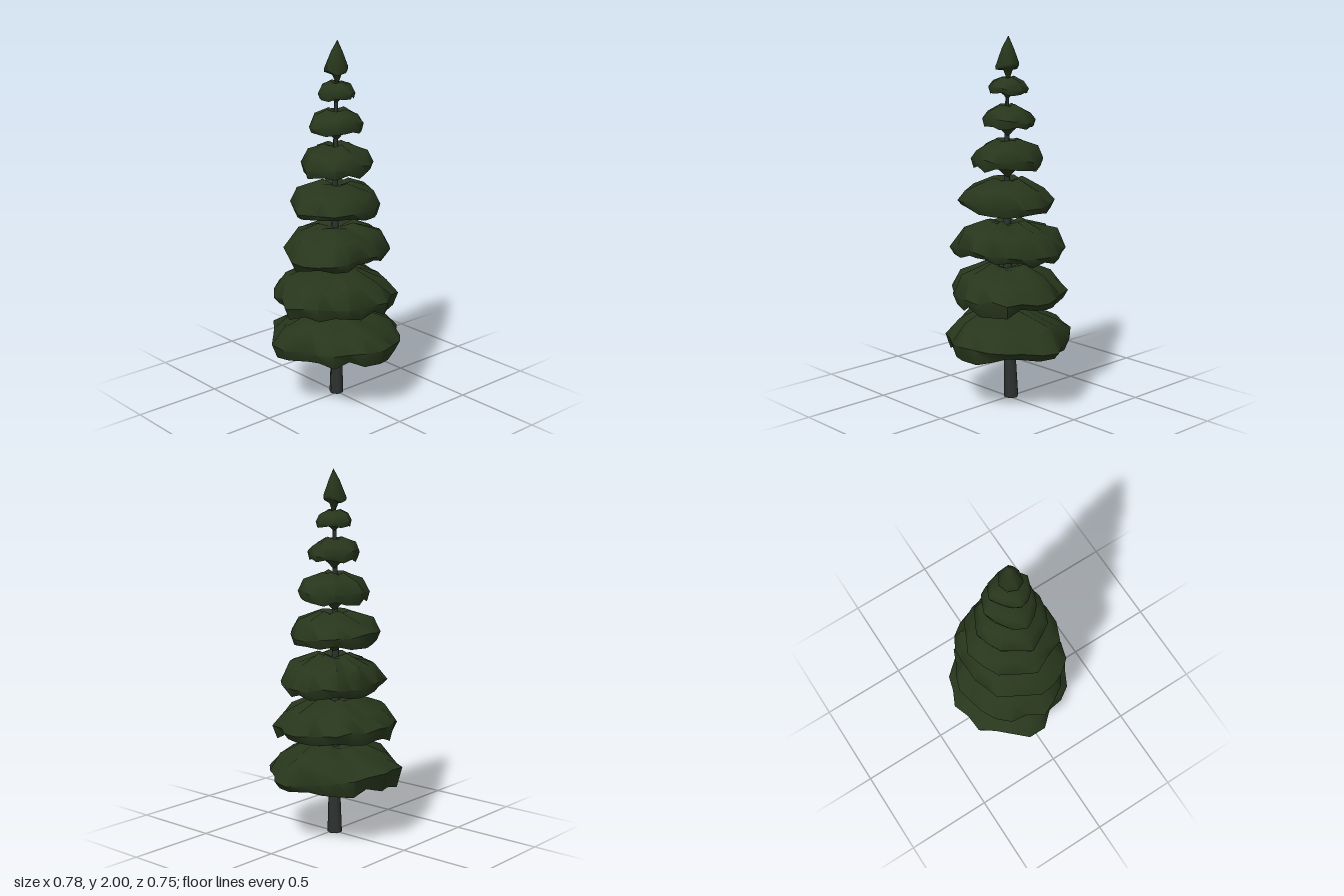
import * as THREE from 'three';
import { toCreasedNormals } from 'three/addons/utils/BufferGeometryUtils.js';

function seeded(seed) {
  let s = seed;
  return () => (s = (s * 16807) % 2147483647) / 2147483647;
}

// Closed surface through rings of points, listed from the top down to the underside
function skin(rings) {
  const n = rings[0].length;
  const index = [];
  for (let i = 0; i < rings.length - 1; i++) {
    for (let j = 0; j < n; j++) {
      const a = i * n + j, b = i * n + (j + 1) % n;
      index.push(a, b, a + n, b, b + n, a + n);
    }
  }
  const g = new THREE.BufferGeometry();
  g.setAttribute('position', new THREE.Float32BufferAttribute(rings.flat(2), 3));
  g.setIndex(index);
  return toCreasedNormals(g, 1.05);
}

// Value at a share u of a full turn, from a list spread evenly round the circle
function around(list, u) {
  const t = u * list.length, i = Math.floor(t);
  return THREE.MathUtils.lerp(list[i], list[(i + 1) % list.length], t - i);
}

// Ragged mushroom-shaped bough ring; reach (radii) and rims (heights) run from +x towards +z
function boughGeometry({ y0, y1, reach, rims, core }, seed, n) {
  const rand = seeded(seed * 7919 + 13);
  for (let i = 0; i < 5; i++) rand();
  const h = y1 - y0;
  const spokes = Array.from({ length: n }, (_, j) => {
    const u = j / n;
    const fixed = (u * reach.length) % 1 === 0;
    const rim = (around(rims, u) - y0) / h + (fixed ? 0 : (rand() - 0.5) * 0.14);
    return {
      angle: u * Math.PI * 2,
      radius: around(reach, u) * (fixed ? 1 : 0.9 + rand() * 0.12),
      rim,
      lip: Math.min(rand() * 0.2, rim - 0.1),
      crown: 0.88 + rand() * 0.12,
      bulge: 0.74 + rand() * 0.12,
      shoulder: Math.max(0.58 + rand() * 0.2, rim + 0.12),
    };
  });
  // Radius share and height share down the cross-section
  const profile = [
    [() => 0.03, () => 0.84], [() => 0.34, s => s.crown], [s => s.bulge, s => s.shoulder],
    [() => 1, s => s.rim], [() => 0.92, s => s.lip], [() => 0.6, s => s.lip * 0.5 + 0.26],
    [() => 0.2, () => core + 0.2], [() => 0.03, () => core],
  ];
  return skin(profile.map(([share, height]) => spokes.map(s => {
    const r = share(s);
    return [
      -0.012 * (1 - r) + Math.cos(s.angle) * s.radius * r,
      y0 + h * height(s),
      Math.sin(s.angle) * s.radius * r,
    ];
  })));
}

export function createModel() {
  const tree = new THREE.Group();
  tree.name = 'coniferTree';
  const needles = new THREE.MeshStandardMaterial({ color: 0x27361c });
  needles.name = 'dark green needles';
  const bark = new THREE.MeshStandardMaterial({ color: 0x2d3230 });
  bark.name = 'grey bark';

  const add = (name, geometry, material) => {
    const mesh = new THREE.Mesh(geometry, material);
    mesh.name = name;
    tree.add(mesh);
    return mesh;
  };

  // Slightly bent, tapering trunk: [x, y, z, radius] from the top down
  const trunk = [
    [-0.01, 1.88, 0, 0.007], [-0.016, 1.5, 0, 0.013], [-0.018, 1.1, -0.003, 0.018],
    [-0.014, 0.7, -0.004, 0.025], [-0.003, 0.3, -0.008, 0.031], [0.002, 0, -0.015, 0.041],
    [0.002, 0, -0.015, 0.001],
  ];
  add('trunk', skin(trunk.map(([x, y, z, r]) => Array.from({ length: 6 }, (_, j) => {
    const a = j / 6 * Math.PI * 2;
    return [x + Math.cos(a) * r, y, z + Math.sin(a) * r];
  }))), bark);

  // Bough tiers, bottom to top; core is the underside height at the trunk
  const tiers = [
    { y0: 0.27, y1: 0.53, core: 0.25, rims: [0.34, 0.37, 0.36, 0.4], reach: [
      0.386, 0.378, 0.336, 0.348, 0.36, 0.355, 0.373, 0.352, 0.335, 0.352, 0.345, 0.323,
      0.388, 0.403, 0.366, 0.358, 0.387, 0.355, 0.377, 0.345, 0.355, 0.338, 0.343, 0.338] },
    { y0: 0.53, y1: 0.78, core: 0.15, rims: [0.6, 0.62, 0.6, 0.64],
      reach: [0.312, 0.333, 0.32, 0.306, 0.378, 0.355, 0.335, 0.325] },
    { y0: 0.795, y1: 1.02, core: 0.1, rims: [0.85, 0.87, 0.85, 0.87],
      reach: [0.3, 0.285, 0.262, 0.325, 0.328, 0.3, 0.265, 0.31] },
    { y0: 1.055, y1: 1.25, core: -0.2, rims: [1.105, 1.13, 1.105, 1.145],
      reach: [0.242, 0.23, 0.24, 0.28, 0.28, 0.26, 0.26, 0.248] },
    { y0: 1.285, y1: 1.46, core: -0.24, rims: [1.345, 1.36, 1.335, 1.355],
      reach: [0.19, 0.19, 0.19, 0.206, 0.23, 0.2, 0.2, 0.185] },
    { y0: 1.505, y1: 1.645, core: -0.27, rims: [1.545, 1.58, 1.55, 1.575],
      reach: [0.146, 0.137, 0.13, 0.143, 0.176, 0.143, 0.148, 0.143] },
    { y0: 1.69, y1: 1.79, core: -0.22, rims: [1.715, 1.73, 1.73, 1.73],
      reach: [0.1, 0.092, 0.11, 0.11, 0.124, 0.1, 0.118, 0.106] },
  ];
  tiers.forEach((tier, i) => {
    add('boughTier' + (i + 1), boughGeometry(tier, i + 3, i < 3 ? 24 : 16), needles);
  });

  // Pointed crown with a short stalk cone beneath
  const crown = [[0.001, 2], [0.03, 1.94], [0.062, 1.86], [0.06, 1.845], [0.024, 1.82], [0.008, 1.775]];
  add('crown', skin(crown.map(([r, y]) => Array.from({ length: 7 }, (_, j) => {
    const a = j / 7 * Math.PI * 2 + 0.4;
    const dip = r > 0.05 ? (j % 3) * 0.011 : 0;
    return [-0.004 - r * 0.14 + Math.cos(a) * r * 1.1, y - dip, Math.sin(a) * r];
  }))), needles);

  // Thin branches rising from the trunk into the lower tiers
  const up = new THREE.Vector3(0, 1, 0);
  tiers.slice(0, 3).forEach((tier, i) => {
    for (let k = 0; k < 3; k++) {
      const a = k / 3 * Math.PI * 2 + i * 0.7 + 0.4;
      const length = tier.reach[0] * 0.55;
      const from = new THREE.Vector3(-0.012, tier.y0 + (i === 0 ? 0.04 : -0.02), -0.004);
      const to = from.clone().add(new THREE.Vector3(Math.cos(a) * length, 0.08, Math.sin(a) * length));
      const dir = to.clone().sub(from);
      const branch = add('branch', new THREE.CylinderGeometry(0.002, 0.006, dir.length(), 5), bark);
      branch.position.copy(from).addScaledVector(dir, 0.5);
      branch.quaternion.setFromUnitVectors(up, dir.normalize());
    }
  });
  return tree;
}
